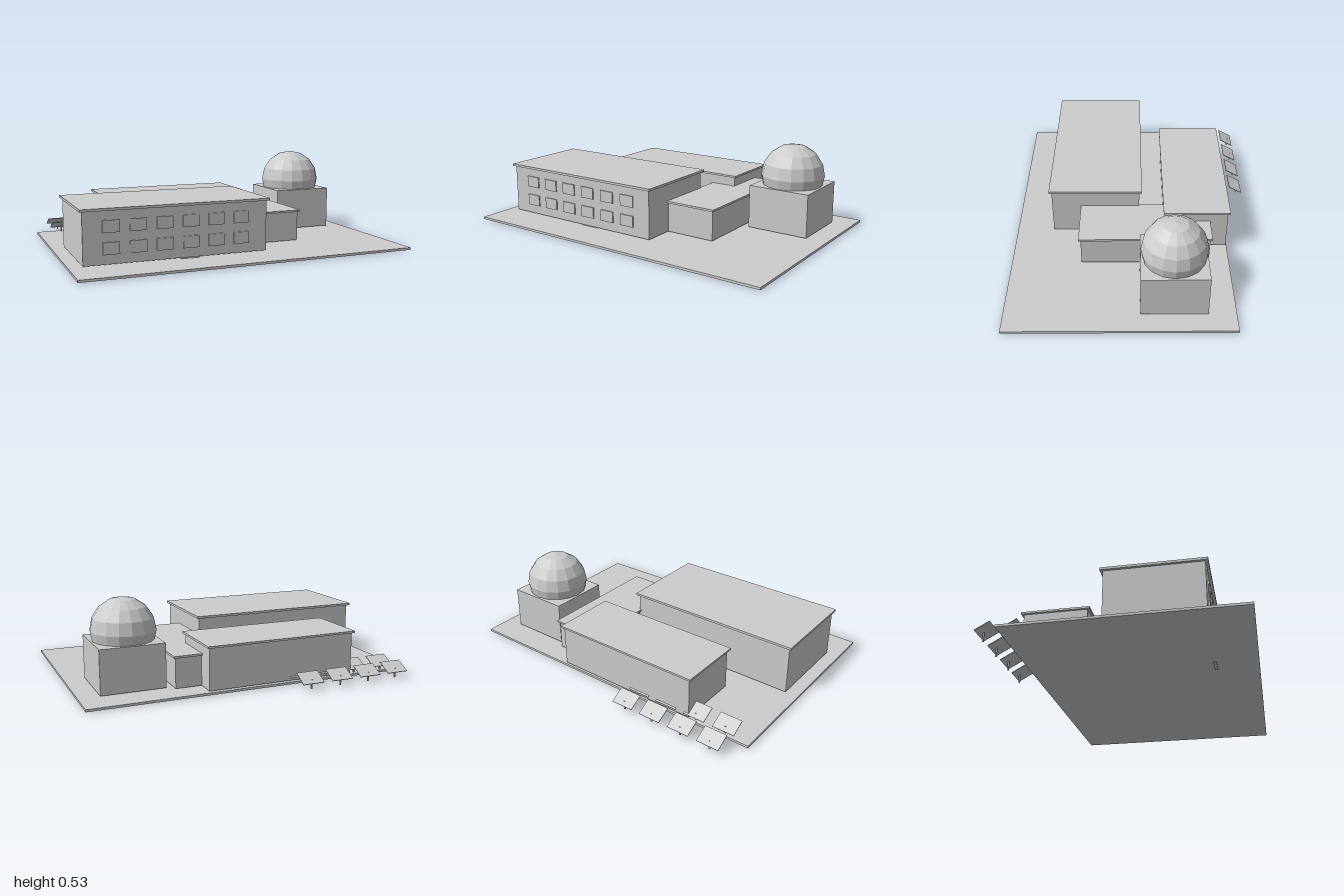
import * as THREE from 'three';

export function createModel() {
  const root = new THREE.Group();
  root.name = 'observatoryCompound';
  const grey = new THREE.MeshStandardMaterial({ color: 0xcccccc, flatShading: true });
  grey.name = 'plainGrey';

  // Box given by its limits on each axis
  function box(name, [x0, x1], [y0, y1], [z0, z1], parent = root) {
    const mesh = new THREE.Mesh(new THREE.BoxGeometry(x1 - x0, y1 - y0, z1 - z0), grey);
    mesh.name = name;
    mesh.position.set((x0 + x1) / 2, (y0 + y1) / 2, (z0 + z1) / 2);
    parent.add(mesh);
    return mesh;
  }

  // Walls with a thin overhanging flat roof
  function building(name, x, z, wallTop, roofTop, overhang) {
    const group = new THREE.Group();
    group.name = name;
    box('walls', x, [0.026, wallTop], z, group);
    box('roof', [x[0] - overhang, x[1] + overhang], [wallTop, roofTop],
      [z[0] - overhang, z[1] + overhang], group);
    root.add(group);
  }

  box('groundSlab', [-1, 1], [0.004, 0.018], [-0.58, 0.73]);
  building('mainBuilding', [-0.925, 0.15], [-0.04, 0.5], 0.32, 0.334, 0.015);
  building('rearBuilding', [-0.617, 0.302], [-0.574, -0.2], 0.273, 0.285, 0.014);
  building('connectingWing', [0.152, 0.459], [-0.457, 0.31], 0.204, 0.216, 0.012);

  // Two rows of windows on the front wall
  for (const y of [0.08, 0.2]) {
    for (let i = 0; i < 6; i++) {
      const x = -0.77 + i * 0.152;
      box('window', [x - 0.047, x + 0.047], [y, y + 0.068], [0.498, 0.507]);
    }
  }
  box('door', [-0.37, -0.26], [0, 0.12], [0.473, 0.492]);

  // Observatory
  box('observatoryBase', [0.5, 0.88], [0.026, 0.286], [-0.42, -0.04]);
  const dome = new THREE.Mesh(new THREE.SphereGeometry(0.19, 16, 8), grey);
  dome.name = 'observatoryDome';
  dome.position.set(0.69, 0.341, -0.23);
  root.add(dome);

  // Tilted solar panels on posts
  for (const z of [-0.69, -0.54]) {
    for (let i = 0; i < 4; i++) {
      const group = new THREE.Group();
      group.name = 'solarPanel';
      group.position.set(-0.845 + i * 0.191, 0, z);
      const panel = box('panel', [-0.068, 0.068], [0.065, 0.069], [-0.048, 0.048], group);
      panel.rotation.x = -0.51;
      box('post', [-0.004, 0.004], [0.006, 0.062], [-0.019, -0.011], group);
      root.add(group);
    }
  }
  return root;
}
